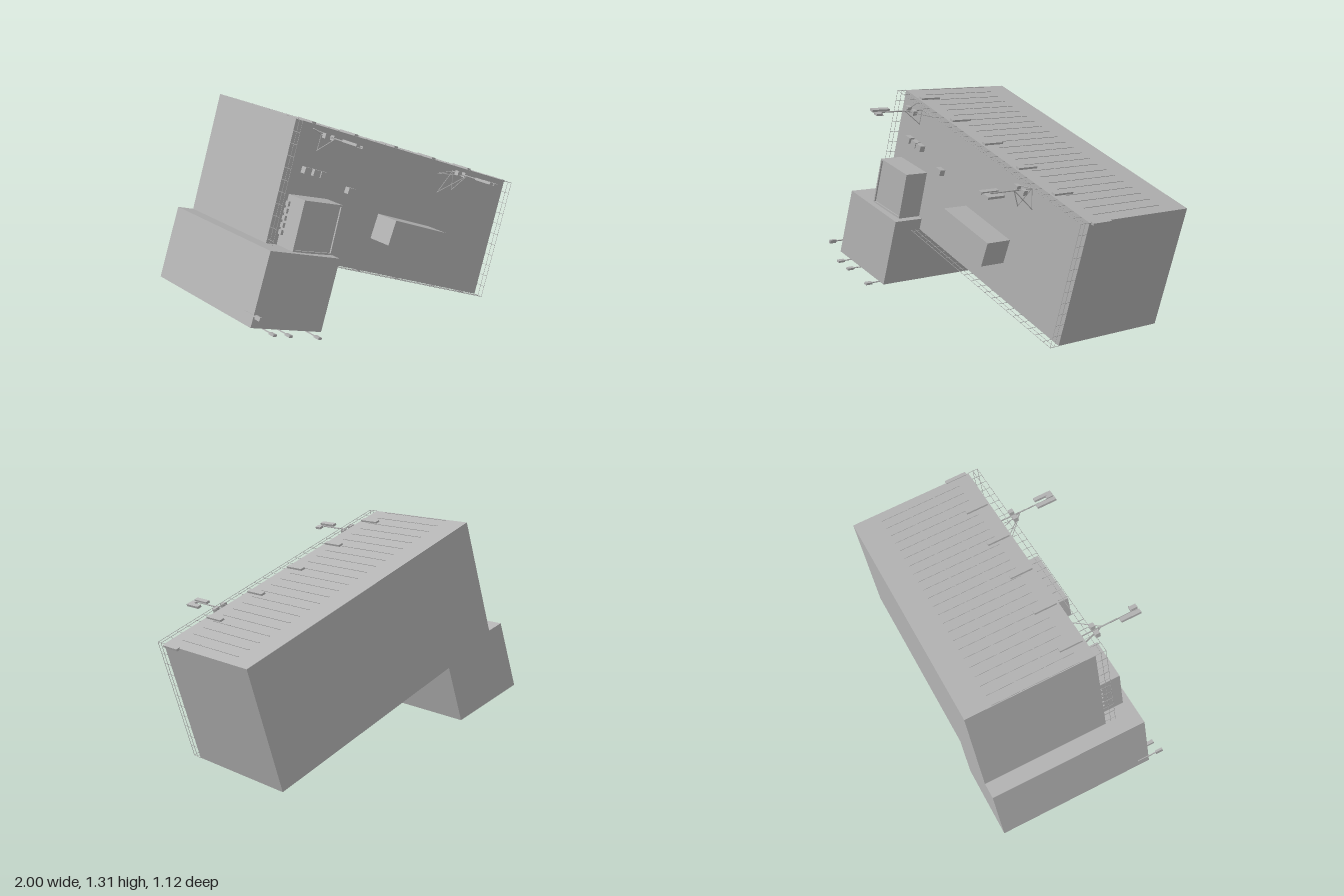
import * as THREE from 'three';

export function createModel() {
  const root = new THREE.Group();
  root.name = 'building';
  const grey = new THREE.MeshStandardMaterial({ color: 0xb3b3b3 });
  grey.name = 'plain grey';

  const add = (name, geo, parent = root) => {
    const mesh = new THREE.Mesh(geo, grey);
    mesh.name = name;
    parent.add(mesh);
    return mesh;
  };
  const group = (name) => {
    const g = new THREE.Group();
    g.name = name;
    root.add(g);
    return g;
  };
  const outline = (pts) => pts.map((p) => new THREE.Vector2(p[0], p[1]));
  // Outline in x/y raised from z0 to z1
  const prism = (name, pts, z0, z1, hole) => {
    const shape = new THREE.Shape(outline(pts));
    if (hole) shape.holes.push(new THREE.Path(outline(hole)));
    const geo = new THREE.ExtrudeGeometry(shape, { depth: z1 - z0, bevelEnabled: false });
    geo.translate(0, 0, z0);
    return add(name, geo);
  };
  // Box turned in the x/y plane
  const block = (name, x, y, z0, z1, w, h, angle, parent) => {
    const mesh = add(name, new THREE.BoxGeometry(w, h, z1 - z0), parent);
    mesh.position.set(x, y, (z0 + z1) / 2);
    mesh.rotation.z = angle;
    return mesh;
  };
  // Thin strut between two points
  const strut = (name, a, b, r, parent) => {
    const p = new THREE.Vector3(...a), q = new THREE.Vector3(...b);
    const d = q.clone().sub(p);
    const mesh = add(name, new THREE.CylinderGeometry(r, r, d.length(), 4), parent);
    mesh.position.copy(p).add(q).multiplyScalar(0.5);
    mesh.quaternion.setFromUnitVectors(new THREE.Vector3(0, 1, 0), d.normalize());
    return mesh;
  };
  const mix = (a, b, t) => [a[0] + (b[0] - a[0]) * t, a[1] + (b[1] - a[1]) * t];

  // Main volumes
  const A = [-0.56, 1.305], B = [0.98, 0.69], C = [0.76, 0], D = [-0.78, 0.615];
  const tilt = Math.atan2(B[1] - A[1], B[0] - A[0]);
  const roofZ = 0.203;
  prism('mainBlock', [A, D, C, B], -0.56, roofZ);
  prism('sideWing', [[-0.865, 0.685], [-1, 0.29], [-0.55, 0.15], [-0.42, 0.545]], -0.56, 0.395);
  prism('plantRoom', [[-0.005, 0.67], [-0.06, 0.535], [0.315, 0.385], [0.37, 0.52]], roofZ, 0.365);

  // Stair tower with a raised rim
  const tower = [[-0.615, 0.9], [-0.7, 0.63], [-0.445, 0.558], [-0.365, 0.825]];
  const centre = [-0.531, 0.728];
  const inner = tower.map((p) => mix(p, centre, 0.07));
  prism('stairTower', tower, roofZ, 0.343);
  prism('towerRim', tower, 0.343, 0.353, inner);
  for (let i = 0; i < 5; i++) {
    const [x, y] = mix([-0.628, 0.855], [-0.678, 0.705], i / 4);
    block('towerVent', x - 0.006, y, 0.21, 0.235, 0.016, 0.026, -0.3);
  }

  // Small roof units
  for (const [x, y] of [[-0.51, 1.015], [-0.452, 0.992], [-0.405, 0.973], [-0.22, 0.848]]) {
    block('roofUnit', x, y, roofZ, 0.238, 0.045, 0.036, tilt);
  }

  // Slim strips across the upper long wall
  const strips = group('wallStrips');
  for (let i = 0; i < 23; i++) {
    const [x, y] = mix(A, B, 0.005 + i * 0.0433);
    for (const z of [-0.4, -0.225, -0.05]) {
      block('wallStrip', x, y, z, z + 0.165, 0.005, 0.006, tilt, strips);
    }
  }

  // Wall lights along both long walls
  const lights = group('wallLights');
  const lightSpots = [
    [-0.435, 1.26], [-0.15, 1.147], [0.133, 1.034], [0.416, 0.921], [0.697, 0.808], [0.983, 0.686],
    [-0.42, 0.467], [-0.137, 0.354], [0.146, 0.241], [0.43, 0.131], [0.66, 0.037],
  ];
  for (const [x, y] of lightSpots) {
    block('wallLight', x, y, 0.055, 0.19, 0.027, 0.013, tilt, lights);
  }

  // Open railing around the main roof
  const railing = group('roofRailing');
  const corners = [A, B, C, D];
  corners.forEach((a, k) => {
    const b = corners[(k + 1) % 4];
    const length = Math.hypot(b[0] - a[0], b[1] - a[1]);
    for (const z of [0.235, 0.265]) {
      strut('rail', [...a, z], [...b, z], 0.0015, railing);
    }
    const count = Math.round(length / 0.065);
    for (let i = 0; i < count; i++) {
      const p = mix(a, b, i / count);
      strut('post', [...p, roofZ], [...p, 0.265], 0.0015, railing);
    }
  });

  // Floodlights on arms around the wing
  const floods = group('wingFloodlights');
  for (const [x, y, a] of [[-0.991, 0.362, 1.25], [-0.905, 0.251, -0.3], [-0.805, 0.219, -0.3], [-0.617, 0.157, -0.3]]) {
    block('floodArm', x, y, 0.32, 0.48, 0.007, 0.005, a, floods);
    block('floodHead', x, y, 0.435, 0.48, 0.022, 0.013, a, floods);
  }

  // Antenna masts: pole, braces, equipment box and panels
  const mast = (x, y, feet, panels) => {
    const g = group('antennaMast');
    strut('pole', [x, y, roofZ], [x, y, 0.555], 0.004, g);
    for (const [fx, fy] of feet) {
      strut('brace', [x, y, 0.335], [fx, fy, roofZ], 0.003, g);
      strut('footTie', [x, y, roofZ + 0.004], [fx, fy, roofZ + 0.004], 0.003, g);
    }
    for (const dx of [-0.028, 0.025]) {
      block('equipmentBox', x + dx, y - dx * 0.4, 0.275, 0.303, 0.03, 0.028, tilt, g);
    }
    strut('crossbar', [x - 0.03, y + 0.012, 0.52], [x + 0.04, y - 0.016, 0.52], 0.003, g);
    for (const [dx, dy, z0] of panels) {
      block('antennaPanel', x + dx, y + dy, z0, 0.558, 0.026, 0.014, tilt, g);
    }
  };
  mast(-0.4, 1.195, [[-0.43, 1.108], [-0.293, 1.157], [-0.45, 1.235]],
    [[-0.02, 0.013, 0.437], [0.02, -0.007, 0.515]]);
  mast(0.55, 0.825, [[0.432, 0.716], [0.548, 0.71], [0.437, 0.832]],
    [[-0.018, 0.008, 0.437], [0.016, -0.006, 0.515], [0.036, -0.013, 0.445]]);

  return root;
}
